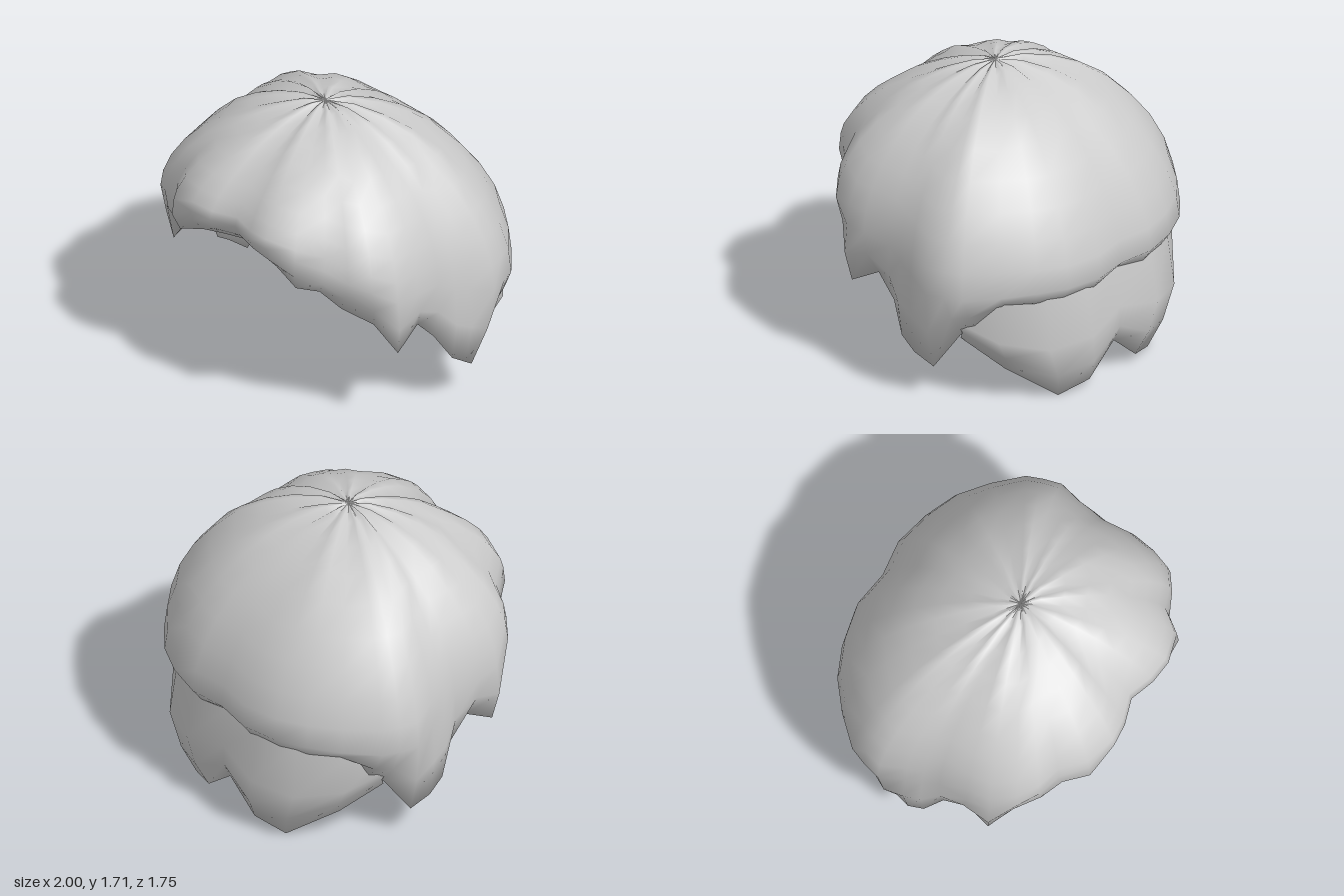
import * as THREE from 'three';

// Joins cross-sections (arrays of Vector3, same length) into one smooth skin.
function loft(sections, closed, material, name) {
  const rows = sections[0].length, n = sections.length, index = [];
  const geo = new THREE.BufferGeometry().setFromPoints(sections.flat());
  for (let i = 0; i < (closed ? n : n - 1); i++) {
    for (let j = 0; j < rows - 1; j++) {
      const a = i * rows + j, c = ((i + 1) % n) * rows + j;
      index.push(a, a + 1, c, c, a + 1, c + 1);
    }
  }
  geo.setIndex(index);
  geo.computeVertexNormals();
  const mesh = new THREE.Mesh(geo, material);
  mesh.name = name;
  return mesh;
}

const V = (x, y, z) => new THREE.Vector3(x, y, z);
const flip = (section) => section.map((p) => V(-p.x, p.y, p.z));

// Points on a rounded arc from the crown down to the widest point.
function dome(crown, wide, n, steps) {
  const pts = [];
  for (let k = 0; k <= steps; k++) {
    const a = (k / steps) * Math.PI / 2;
    const out = Math.pow(Math.sin(a), 2 / n), up = Math.pow(Math.cos(a), 2 / n);
    pts.push(V(
      crown.x + (wide.x - crown.x) * out,
      wide.y + (crown.y - wide.y) * up,
      crown.z + (wide.z - crown.z) * out));
  }
  return pts;
}

// Half of the cap, front to back: widest point, rim point, arc roundness.
const capColumns = [
  [V(0, 1.2, 0.81), V(0, 1.06, 0.7), 1.55],
  [V(0.15, 1.2, 0.86), V(0.15, 1.055, 0.74), 1.55],
  [V(0.29, 1.21, 0.875), V(0.28, 1.04, 0.77), 1.55],
  [V(0.47, 1.18, 0.82), V(0.45, 0.98, 0.79), 1.6],
  [V(0.58, 1.1, 0.69), V(0.53, 0.94, 0.68), 1.75],
  [V(0.71, 1.05, 0.64), V(0.62, 0.83, 0.6), 1.75],
  [V(0.82, 1.0, 0.56), V(0.74, 0.71, 0.46), 1.8],
  [V(0.89, 0.9, 0.42), V(0.87, 0.55, 0.4), 1.85],
  [V(0.91, 0.9, 0.28), V(0.85, 0.65, 0.22), 1.9],
  [V(0.9, 0.88, 0.1), V(0.86, 0.52, 0.1), 1.9],
  [V(0.93, 0.82, 0), V(0.91, 0.35, 0), 1.9],
  [V(0.95, 0.78, -0.1), V(0.92, 0.28, -0.1), 1.9],
  [V(1.0, 0.72, -0.25), V(0.87, 0.2, -0.2), 1.9],
  [V(0.97, 0.72, -0.36), V(0.8, 0.42, -0.34), 1.9],
  [V(0.93, 0.72, -0.46), V(0.77, 0.47, -0.44), 1.9],
  [V(0.78, 0.73, -0.62), V(0.64, 0.6, -0.54), 1.85],
  [V(0.62, 0.74, -0.75), V(0.52, 0.57, -0.62), 1.8],
  [V(0.44, 0.73, -0.83), V(0.38, 0.56, -0.67), 1.75],
  [V(0.22, 0.73, -0.88), V(0.2, 0.56, -0.71), 1.75],
  [V(0, 0.73, -0.85), V(0, 0.63, -0.7), 1.75],
];

function capSection([wide, rim, n], i) {
  const outer = dome(V(0, 1.71, 0.08), wide, n, 9);
  // shallow strand folds gathered at the crown
  outer.forEach((p, k) => { if (k > 0 && k < 5) p.y += (i % 3 ? 0.012 : -0.012); });
  const belly = wide.clone().lerp(rim, 0.5);
  belly.x *= 1.03;
  belly.z *= 1.03;
  // lining climbs from the rim back up inside the cap
  const innerWide = V(wide.x * 0.91, wide.y + 0.06, wide.z * 0.91);
  const innerBelly = rim.clone().lerp(innerWide, 0.5);
  const inner = dome(V(0, 1.62, 0.08), innerWide, n, 6).reverse();
  return [...outer, belly, rim, innerBelly, ...inner];
}

// Half of the nape layer, side to back: tucked top, belly, tip.
const napeColumns = [
  [V(0.84, 0.64, -0.34), V(0.85, 0.52, -0.35), V(0.8, 0.4, -0.34)],
  [V(0.76, 0.66, -0.57), V(0.75, 0.42, -0.58), V(0.63, 0.2, -0.52)],
  [V(0.52, 0.7, -0.74), V(0.54, 0.36, -0.78), V(0.39, 0, -0.71)],
  [V(0.28, 0.7, -0.82), V(0.28, 0.38, -0.875), V(0.2, 0.05, -0.78)],
  [V(0, 0.7, -0.8), V(0, 0.45, -0.84), V(0, 0.22, -0.79)],
];

function napeSection([top, belly, tip]) {
  const low = belly.clone().lerp(tip, 0.55);
  low.z -= 0.025;
  const inside = (p, s) => V(p.x * s, p.y + 0.03, p.z * s);
  return [top, belly, low, tip, inside(low, 0.94), inside(belly, 0.92), inside(top, 0.92)];
}

export function createModel() {
  const hair = new THREE.MeshStandardMaterial({ color: 0xcccccc, side: THREE.DoubleSide });
  hair.name = 'hair grey';
  const group = new THREE.Group();
  group.name = 'hair';

  const capHalf = capColumns.map(capSection);
  const capOther = capHalf.slice(1, -1).reverse().map(flip);
  group.add(loft([...capHalf, ...capOther], true, hair, 'hairCap'));

  const napeHalf = napeColumns.map(napeSection);
  const napeOther = napeHalf.slice(0, -1).reverse().map(flip);
  group.add(loft([...napeHalf, ...napeOther], false, hair, 'napeLocks'));
  return group;
}
